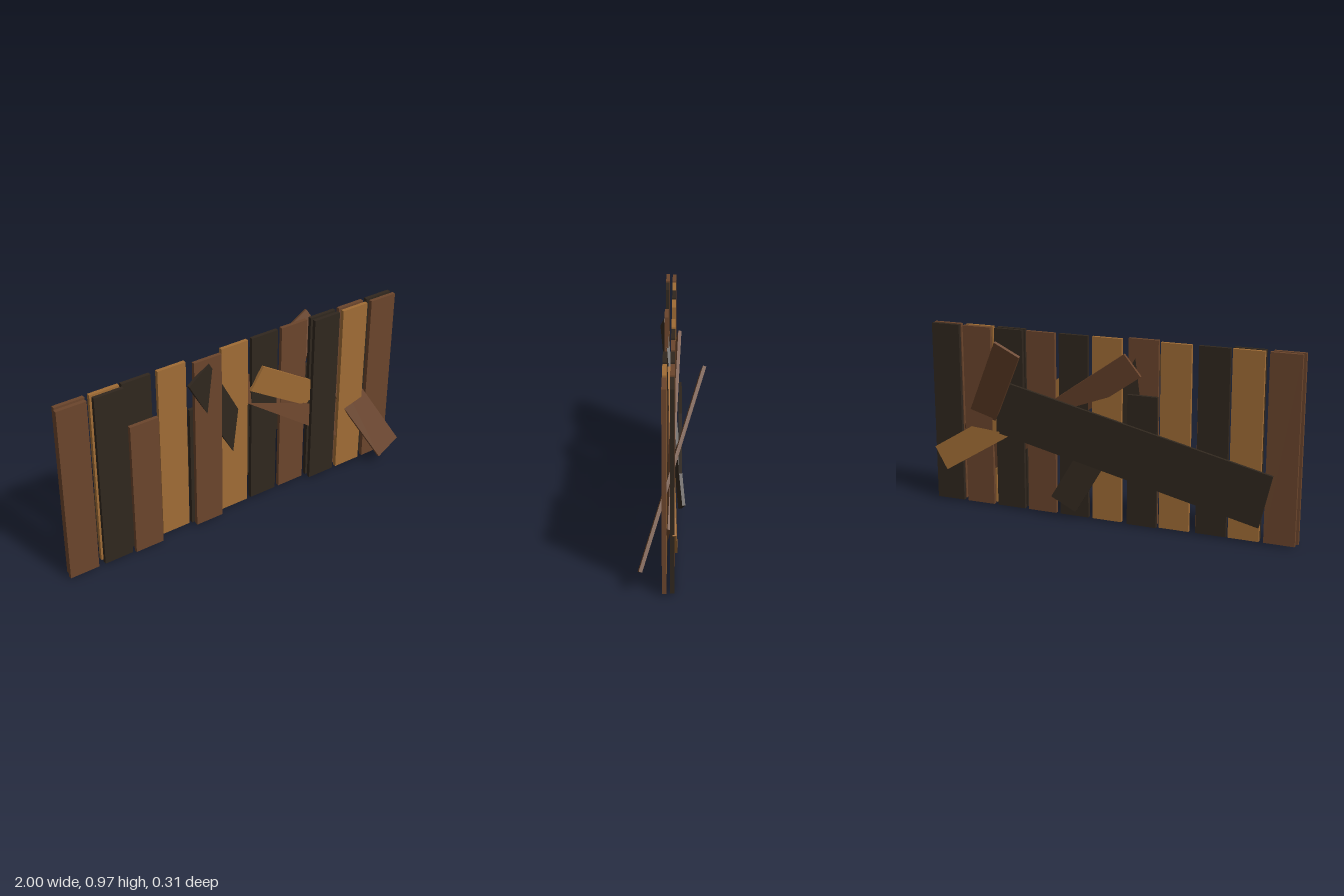
import * as THREE from 'three';

const mat = (color) => new THREE.MeshStandardMaterial({ color, flatShading: true });

export function createModel() {
  const group = new THREE.Group();
  const brown = mat(0x6b452c), gold = mat(0xa06c35), dark = mat(0x30271e);

  // Board running from end centre a to end centre b; side points across its width
  function board(name, a, b, side, width, thickness, material) {
    const A = new THREE.Vector3(...a), B = new THREE.Vector3(...b);
    const along = B.clone().sub(A);
    const length = along.length();
    along.normalize();
    const normal = new THREE.Vector3(...side).cross(along).normalize();
    const across = along.clone().cross(normal);
    const mesh = new THREE.Mesh(new THREE.BoxGeometry(width, length, thickness), material);
    mesh.quaternion.setFromRotationMatrix(new THREE.Matrix4().makeBasis(across, along, normal));
    mesh.position.copy(A).add(B).multiplyScalar(0.5);
    mesh.name = name;
    group.add(mesh);
  }

  // Upright planks stand in eleven evenly spaced slots
  function plank(name, slot, z, material, top = 0.97, bottom = 0.01, dx = 0) {
    const x = -0.912 + 0.182 * slot + dx;
    board(name, [x, bottom, z], [x, top, z], [1, 0, 0], 0.158, 0.02, material);
  }

  // Back row
  const backRow = [brown, gold, dark, gold, dark, gold, dark, brown, dark, brown, dark];
  backRow.forEach((m, i) => plank('backPlank', i, -0.003, m,
    i === 4 ? 0.69 : 0.97, i === 4 ? 0.005 : 0.01, i === 2 ? -0.013 : i === 4 ? -0.008 : 0));

  // Front row, with gaps and one short plank
  const frontRow = [
    [0, brown, 0.97, -0.009], [1, dark, 0.97, 0.003], [2, brown, 0.745, 0],
    [4, brown, 0.97, 0], [8, dark, 0.97, 0], [9, gold, 0.97, 0], [10, brown, 0.97, 0.004],
  ];
  for (const [slot, m, top, dx] of frontRow) {
    plank('frontPlank', slot, 0.033, m, top, top < 0.9 ? 0 : 0.01, dx);
  }

  // Wide board nailed across the back
  board('wideBackBoard', [-0.845, 0.23, -0.037], [0.56, 0.555, -0.037],
    [0.03, -0.13, 0], 0.28, 0.016, dark);

  // Slanted boards that pass through the fence
  board('steepDarkBoard', [-0.245, 0.905, 0.049], [0.225, 0.08, -0.046],
    [0.13, 0.07, -0.02], 0.15, 0.016, dark);
  board('goldSlantBoard', [0.125, 0.74, 0.014], [0.955, 0.235, -0.016],
    [0.07, 0.12, 0.006], 0.14, 0.016, gold);
  board('brownSlantBoard', [-0.145, 0.845, -0.024], [0.79, 0.19, 0.022],
    [0.07, 0.11, -0.02], 0.14, 0.016, brown);
  board('leaningBoard', [0.485, 0.895, -0.142], [0.93, 0.085, 0.142],
    [0.13, 0.07, -0.01], 0.15, 0.016, brown);

  return group;
}
